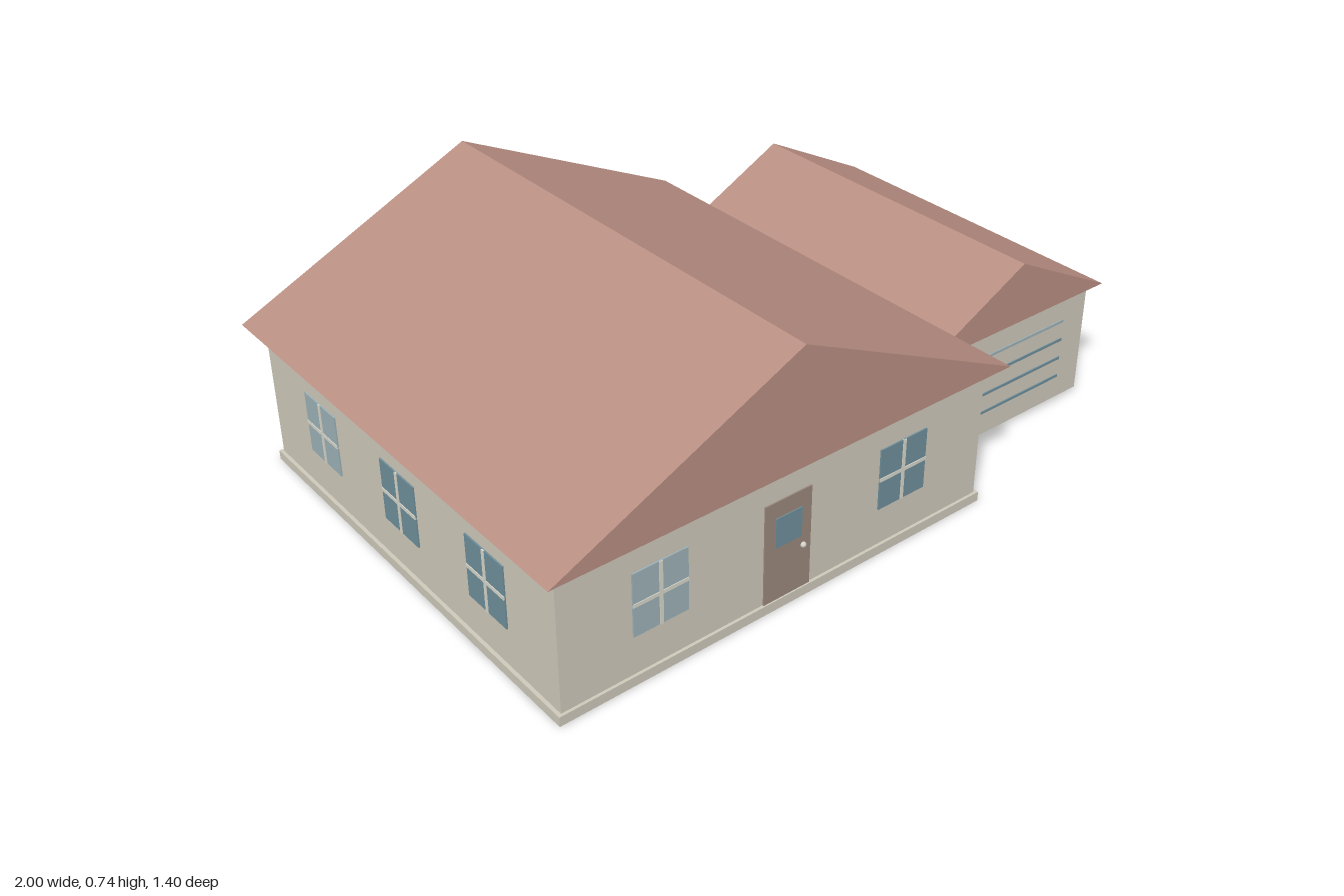
import * as THREE from 'three';

const mat = (name, color) => {
  const m = new THREE.MeshStandardMaterial({ color });
  m.name = name;
  return m;
};

export function createModel() {
  const wall = mat('cream wall', 0xcdc8b9);
  const roof = mat('clay roof', 0xb88e82);
  const door = mat('brown door', 0x9a877c);
  const glass = mat('blue glass', 0x6f8e9a);
  const paleGlass = mat('pale glass', 0x9cb0b5);
  const trim = mat('pale trim', 0xd6d5ca);

  const house = new THREE.Group();
  house.name = 'house';

  // Box given by its limits on each axis
  const block = (name, material, [x0, x1], [y0, y1], [z0, z1], parent = house) => {
    const m = new THREE.Mesh(new THREE.BoxGeometry(x1 - x0, y1 - y0, z1 - z0), material);
    m.position.set((x0 + x1) / 2, (y0 + y1) / 2, (z0 + z1) / 2);
    m.name = name;
    parent.add(m);
    return m;
  };

  // Gabled roof with its ridge along z
  const gable = (name, cx, half, y0, y1, depth) => {
    const s = new THREE.Shape();
    s.moveTo(-half, y0);
    s.lineTo(half, y0);
    s.lineTo(0, y1);
    s.closePath();
    const g = new THREE.ExtrudeGeometry(s, { depth, bevelEnabled: false });
    const m = new THREE.Mesh(g, roof);
    m.position.set(cx, 0, -depth / 2);
    m.name = name;
    house.add(m);
  };

  // Main house: plinth, walls, eaves band, roof
  block('plinth', wall, [-0.967, 0.357], [0, 0.027], [-0.663, 0.663]);
  block('mainWalls', wall, [-0.957, 0.347], [0.027, 0.397], [-0.655, 0.655]);
  block('eavesBand', wall, [-0.967, 0.357], [0.397, 0.416], [-0.663, 0.663]);
  gable('mainRoof', -0.305, 0.695, 0.415, 0.74, 1.4);

  // Garage
  block('garageWalls', wall, [0.335, 0.968], [0.015, 0.357], [-0.47, 0.47]);
  gable('garageRoof', 0.651, 0.345, 0.357, 0.534, 1.0);
  [0.088, 0.147, 0.207, 0.267].forEach((y, i) =>
    block('garageDoorLine', i === 3 ? paleGlass : glass,
      [0.425, 0.88], [y - 0.004, y + 0.004], [0.468, 0.473]));

  // Window: a pane with a thin cross, facing +z before turning
  const addWindow = (x, z, turn, pane) => {
    const w = new THREE.Group();
    w.name = 'window';
    block('windowPane', pane, [-0.078, 0.078], [-0.088, 0.088], [0, 0.004], w);
    block('windowBarUpright', trim, [-0.005, 0.005], [-0.088, 0.088], [0.002, 0.006], w);
    block('windowBarLevel', trim, [-0.078, 0.078], [-0.005, 0.005], [0.002, 0.006], w);
    w.position.set(x, 0.224, z);
    w.rotation.y = turn;
    house.add(w);
  };
  addWindow(-0.68, 0.655, 0, paleGlass);
  addWindow(0.07, 0.655, 0, glass);
  [0.07, -0.305, -0.68].forEach((x, i) =>
    addWindow(x, -0.655, Math.PI, i ? glass : paleGlass));
  [-0.38, 0, 0.38].forEach((z, i) =>
    addWindow(-0.957, z, -Math.PI / 2, i ? glass : paleGlass));

  // Front door with its small window and knob
  block('frontDoor', door, [-0.377, -0.233], [0.027, 0.313], [0.653, 0.659]);
  block('doorWindow', glass, [-0.346, -0.264], [0.182, 0.267], [0.657, 0.662]);
  const knob = new THREE.Mesh(new THREE.SphereGeometry(0.008, 12, 8), trim);
  knob.name = 'doorKnob';
  knob.position.set(-0.257, 0.152, 0.66);
  house.add(knob);

  return house;
}
